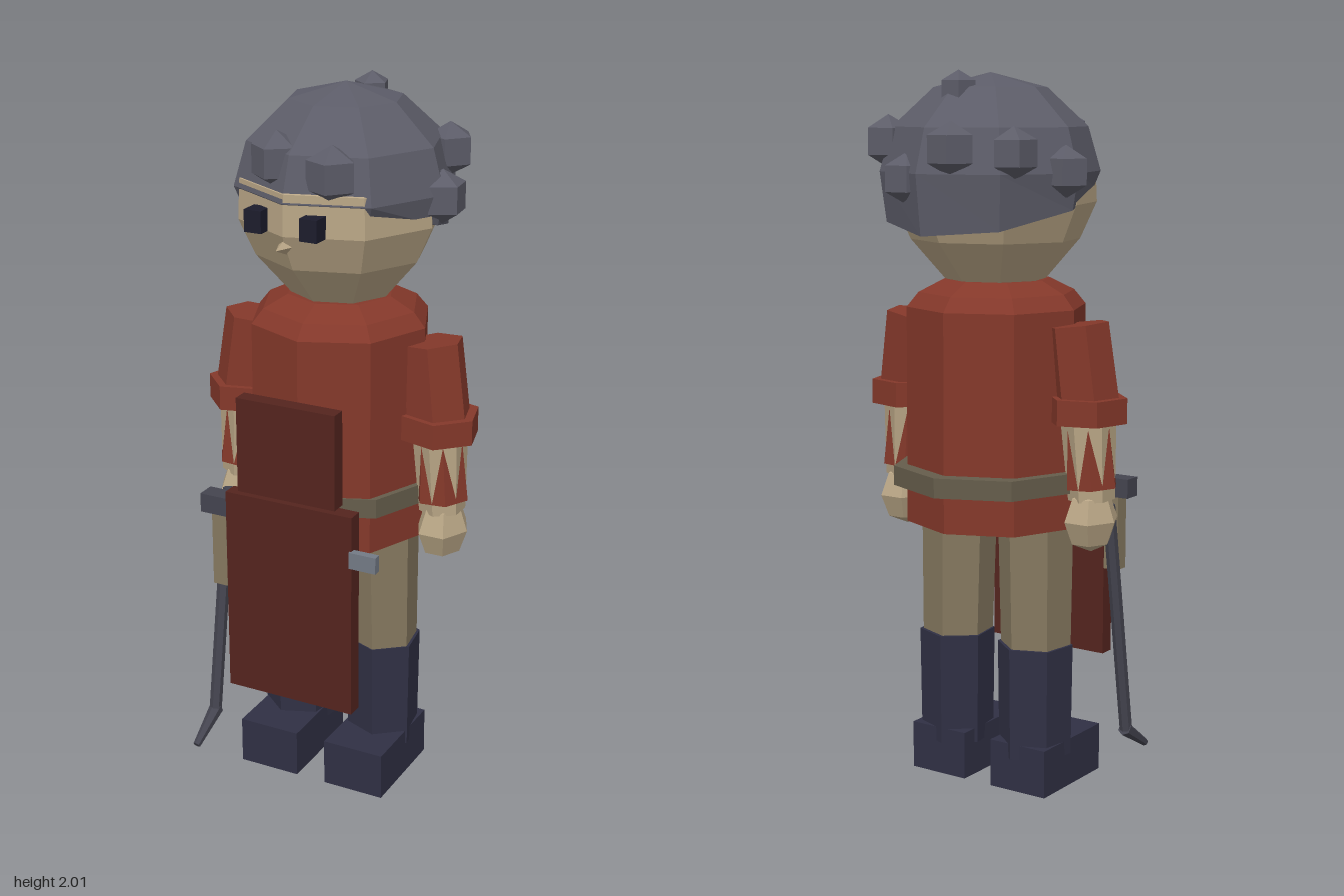
import * as THREE from 'three';

const mat = (color) => new THREE.MeshStandardMaterial({ color, flatShading: true, side: THREE.DoubleSide });
const RED = mat(0x84382a), DARK_RED = mat(0x54241e), SKIN = mat(0xb8a585), CLOTH = mat(0x85785f);
const BELT = mat(0x655d4b), CAP = mat(0x5c5c68), BOOT = mat(0x303044), IRON = mat(0x44444f);
const STEEL = mat(0x737a85), EYE = mat(0x1c1c2c);

export function createModel() {
  const model = new THREE.Group();

  const add = (name, geometry, material, x = 0, y = 0, z = 0, parent = model) => {
    const mesh = new THREE.Mesh(geometry, material);
    mesh.name = name;
    mesh.position.set(x, y, z);
    parent.add(mesh);
    return mesh;
  };
  // box given by its ranges on each axis
  const box = (name, material, [x0, x1], [y0, y1], [z0, z1], parent = model) =>
    add(name, new THREE.BoxGeometry(x1 - x0, y1 - y0, z1 - z0), material,
      (x0 + x1) / 2, (y0 + y1) / 2, (z0 + z1) / 2, parent);
  // faceted turned shape; the profile runs from bottom to top
  const turned = (points, sides, phase = 0) =>
    new THREE.LatheGeometry(points.map(([r, y]) => new THREE.Vector2(r, y)), sides, phase);
  // straight faceted bar between two points
  const bar = (name, material, from, to, r0, r1, sides = 6, phase = 0, parent = model) => {
    const a = new THREE.Vector3(...from), b = new THREE.Vector3(...to);
    const dir = b.clone().sub(a);
    const g = new THREE.CylinderGeometry(r1, r0, dir.length(), sides, 1, false, phase);
    const mesh = add(name, g, material, ...a.clone().add(b).multiplyScalar(0.5).toArray(), parent);
    mesh.quaternion.setFromUnitVectors(new THREE.Vector3(0, 1, 0), dir.normalize());
    return mesh;
  };

  // head with a narrow jaw
  const head = new THREE.Group();
  head.name = 'head';
  model.add(head);
  add('face', turned([[0, 1.43], [0.14, 1.44], [0.235, 1.55], [0.28, 1.65], [0.275, 1.76], [0, 1.85]], 8, -0.1),
    SKIN, 0, 0, 0.015, head);
  const nose = add('nose', new THREE.ConeGeometry(0.037, 0.09, 4), SKIN, -0.03, 1.62, 0.28, head);
  nose.rotation.x = Math.PI / 2;
  box('rightEye', EYE, [-0.14, -0.09], [1.65, 1.71], [0.24, 0.295], head);
  box('leftEye', EYE, [0.03, 0.08], [1.65, 1.71], [0.24, 0.31], head);

  // domed cap whose rim drops towards the nape
  const dome = turned([[0.285, 1.645], [0.303, 1.735], [0.268, 1.855], [0.155, 1.96], [0, 2.0]], 8, -0.1);
  const p = dome.attributes.position;
  for (let i = 0; i < p.count; i++) {
    if (p.getY(i) < 1.7) p.setY(i, p.getY(i) + 0.26 * p.getZ(i));
  }
  dome.computeVertexNormals();
  add('cap', dome, CAP, 0, 0, -0.01, head);

  // knobs scattered over the cap
  const knobs = [
    [-0.055, 1.80, -0.27, 0.073], [0.105, 1.72, -0.25, 0.07], [0.235, 1.815, -0.16, 0.073],
    [0.285, 1.725, -0.005, 0.073], [0.01, 1.95, -0.145, 0.055], [-0.205, 1.79, -0.2, 0.07],
    [-0.275, 1.74, -0.06, 0.07], [-0.085, 1.83, 0.215, 0.077], [0.08, 1.81, 0.225, 0.077],
  ];
  knobs.forEach(([x, y, z, r], i) => {
    const knob = add('capKnob', new THREE.SphereGeometry(r, 5, 3), CAP, x, y, z, head);
    knob.rotation.y = Math.PI / 2 + (i % 3 - 1) * 0.2;
  });

  // tunic and belt
  add('tunic', turned([[0, 0.76], [0.255, 0.76], [0.253, 1.365], [0.22, 1.405], [0.15, 1.44], [0, 1.44]], 8),
    RED, 0, 0, 0.02);
  add('belt', new THREE.CylinderGeometry(0.28, 0.28, 0.055, 8), BELT, 0, 0.895, 0);

  // apron panels
  box('apronBib', DARK_RED, [-0.15, 0.145], [0.935, 1.205], [0.295, 0.34]);
  box('apronSkirt', DARK_RED, [-0.195, 0.19], [0.325, 0.92], [0.285, 0.33]);

  // tools hung at the waist
  box('toolHandle', CLOTH, [-0.275, -0.23], [0.6, 0.84], [0.228, 0.273]);
  box('toolHead', IRON, [-0.31, -0.195], [0.815, 0.87], [0.22, 0.275]);
  box('waistClip', STEEL, [0.185, 0.265], [0.775, 0.822], [0.315, 0.338]);

  // arms and legs, mirrored
  for (const [s, side] of [[-1, 'right'], [1, 'left']]) {
    const arm = new THREE.Group();
    arm.name = side + 'Arm';
    model.add(arm);
    bar('sleeve', RED, [s * 0.302, 1.08, 0.02], [s * 0.272, 1.33, 0.012], 0.092, 0.086, 6, 0.26 * s, arm);
    add('cuff', new THREE.CylinderGeometry(0.112, 0.112, 0.07, 6, 1, false, 0.26 * s), RED, s * 0.3, 1.1, 0.017, arm);
    bar('forearm', SKIN, [s * 0.314, 0.85, 0.02], [s * 0.302, 1.09, 0.018], 0.064, 0.077, 6, 0, arm);
    bar('sleeveLining', RED, [s * 0.314, 0.885, 0.02], [s * 0.302, 1.09, 0.018], 0.076, 0.062, 6, Math.PI / 6, arm);
    const hand = add('hand', new THREE.SphereGeometry(0.09, 6, 4), SKIN, s * 0.315, 0.795, 0.017, arm);
    hand.scale.set(0.82, 1, 1);

    const leg = new THREE.Group();
    leg.name = side + 'Leg';
    model.add(leg);
    bar('trouserLeg', CLOTH, [s * 0.135, 0.38, 0.018], [s * 0.13, 0.8, 0.022], 0.1, 0.108, 6, 0.15 * s, leg);
    add('bootShaft', new THREE.CylinderGeometry(0.108, 0.104, 0.32, 6, 1, false, 0.15 * s), BOOT,
      s * 0.135, 0.255, 0.015, leg);
    const x = [s * 0.045, s * 0.228].sort((a, b) => a - b);
    box('bootFoot', BOOT, x, [0, 0.137], [-0.078, 0.215], leg);
  }

  // hooked iron poker in the right hand
  const poker = new THREE.Group();
  poker.name = 'poker';
  model.add(poker);
  bar('pokerShaft', IRON, [-0.323, 0.14, 0.207], [-0.318, 0.82, 0.105], 0.018, 0.018, 6, 0, poker);
  bar('pokerHook', IRON, [-0.323, 0.145, 0.2], [-0.328, 0.072, 0.31], 0.021, 0.011, 6, 0, poker);

  return model;
}
